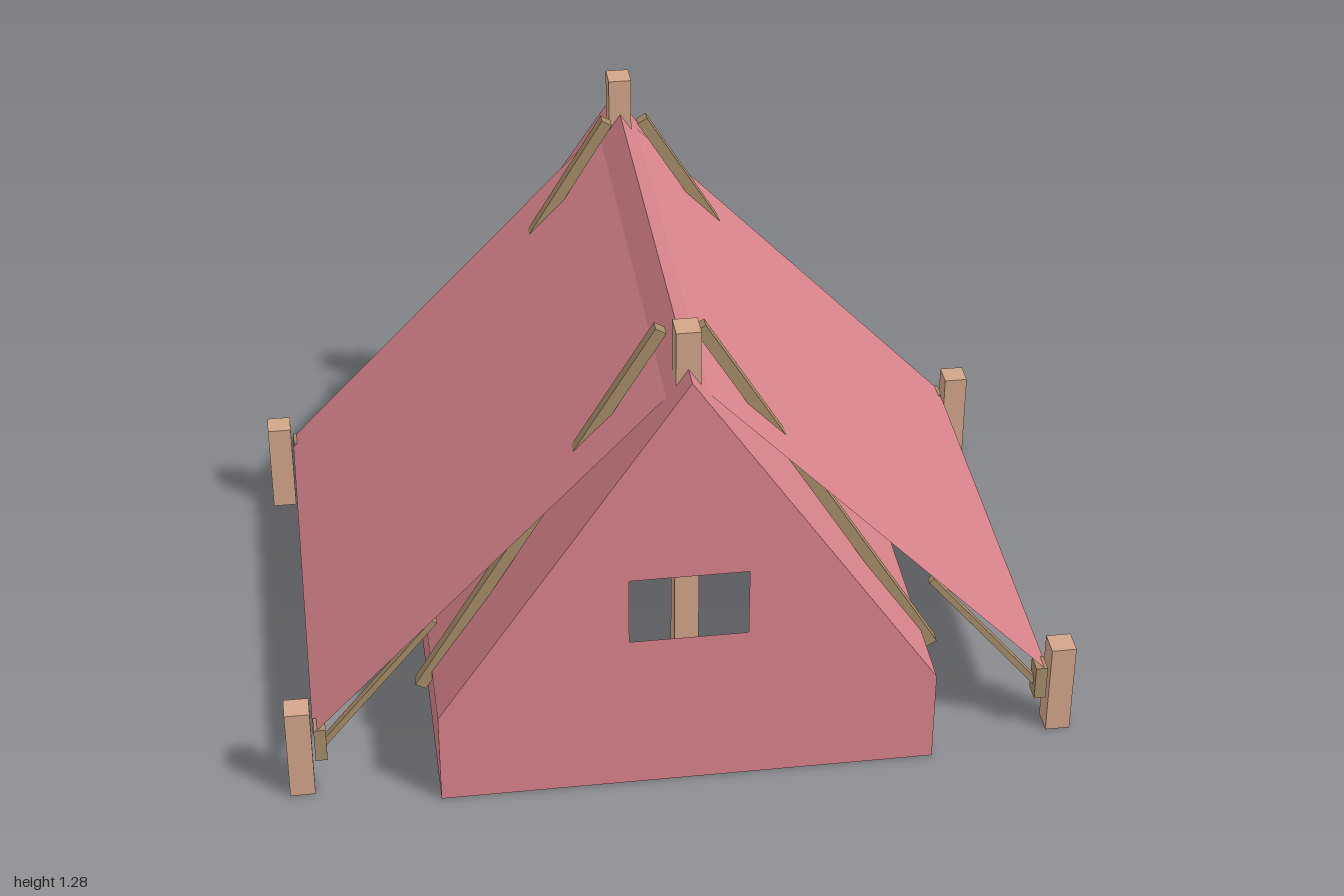
import * as THREE from 'three';

const material = (name, color, side = THREE.FrontSide) => {
  const m = new THREE.MeshStandardMaterial({ color, side });
  m.name = name;
  return m;
};

export function createModel() {
  const canvas = material('pink canvas', 0xd9848b, THREE.DoubleSide);
  const paleWood = material('pale wood', 0xd3a68a);
  const oliveWood = material('olive wood', 0xa68c67);

  const group = new THREE.Group();
  group.name = 'tent';

  const add = (name, geometry, mat) => {
    const mesh = new THREE.Mesh(geometry, mat);
    mesh.name = name;
    group.add(mesh);
    return mesh;
  };
  const box = (name, mat, w, h, d, x, y, z) => {
    const mesh = add(name, new THREE.BoxGeometry(w, h, d), mat);
    mesh.position.set(x, y, z);
    return mesh;
  };
  // Square bar between two points in a plane of constant z
  const bar = (name, mat, [x1, y1], [x2, y2], thick, depth, z) => {
    const length = Math.hypot(x2 - x1, y2 - y1);
    const mesh = box(name, mat, thick, length, depth, (x1 + x2) / 2, (y1 + y2) / 2, z);
    mesh.rotation.z = Math.atan2(x1 - x2, y2 - y1);
  };
  // Flat canvas sheet: an edge (x, y) to (x, y) swept from -z to +z
  const sheet = (name, [x1, y1], [x2, y2], halfDepth) => {
    const g = new THREE.BufferGeometry();
    g.setAttribute('position', new THREE.Float32BufferAttribute([
      x1, y1, -halfDepth, x1, y1, halfDepth, x2, y2, halfDepth, x2, y2, -halfDepth], 3));
    g.setIndex(x1 + x2 > 0 ? [0, 1, 2, 0, 2, 3] : [0, 2, 1, 0, 3, 2]);
    g.computeVertexNormals();
    add(name, g, canvas);
  };

  // Gable walls, the front one with a window opening
  const halfWidth = 0.625, eave = 0.255, ridge = 1.185, halfDepth = 0.725;
  const gable = () => new THREE.Shape([
    [-halfWidth, 0], [halfWidth, 0], [halfWidth, eave], [0, ridge], [-halfWidth, eave],
  ].map(([x, y]) => new THREE.Vector2(x, y)));
  const frontShape = gable();
  frontShape.holes.push(new THREE.Path([
    [-0.15, 0.445], [-0.15, 0.63], [0.145, 0.63], [0.145, 0.445],
  ].map(([x, y]) => new THREE.Vector2(x, y))));
  add('frontWall', new THREE.ShapeGeometry(frontShape), canvas).position.z = halfDepth;
  const back = add('backWall', new THREE.ShapeGeometry(gable()), canvas);
  back.position.z = -halfDepth;
  back.rotation.y = Math.PI;

  for (const [side, s] of [['left', 1], ['right', -1]]) {
    // Inner tent
    sheet(side + 'SideWall', [s * halfWidth, eave], [s * halfWidth, 0], halfDepth);
    sheet(side + 'InnerRoof', [0, ridge], [s * halfWidth, eave], halfDepth);
    // Outer fly sheet, wider and flatter than the inner roof
    sheet(side + 'FlySheet', [0, 1.162], [s * 0.932, 0.188], 0.66);

    for (const [end, e] of [['Front', 1], ['Back', -1]]) {
      const name = side + end;
      const z = e * 0.632;
      box(name + 'Stake', paleWood, 0.063, 0.255, 0.065, s * 0.968, 0.1275, z);
      box(name + 'Peg', oliveWood, 0.03, 0.095, 0.05, s * 0.915, 0.152, e * 0.637);
      bar(name + 'GuyRope', oliveWood, [s * 0.618, 0.492], [s * 0.905, 0.142], 0.016, 0.02, z);
      bar(name + 'RoofPole', oliveWood, [s * 0.047, 1.213], [s * 0.655, 0.21], 0.03, 0.031, e * 0.52);
    }
  }

  // Upright ridge posts
  for (const [end, e] of [['front', 1], ['back', -1]])
    box(end + 'RidgePost', paleWood, 0.06, 1.285, 0.065, 0, 0.6425, e * 0.632);

  // Bench inside, against the back wall
  box('bench', oliveWood, 0.75, 0.1, 0.38, 0, 0.18, -0.47);

  return group;
}
